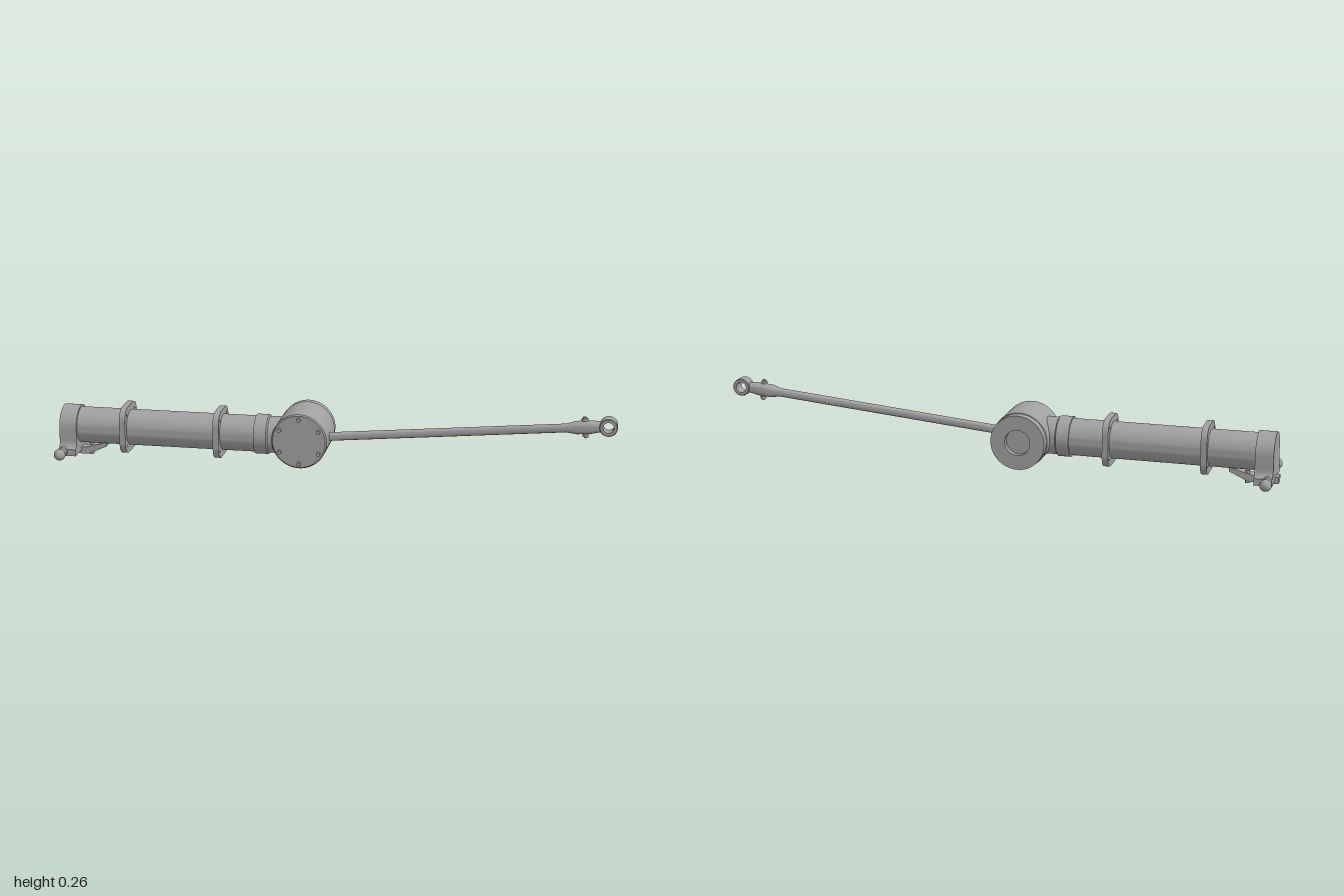
import * as THREE from 'three';
import { toCreasedNormals } from 'three/addons/utils/BufferGeometryUtils.js';

const metal = new THREE.MeshStandardMaterial({ color: 0xa0a0a0 });
metal.name = 'grey metal';

const AXIS_X = 0.028; // sideways offset of tube and rod
const AXIS_Y = 0.125; // height of tube axis

function add(parent, name, geometry, x = 0, y = 0, z = 0) {
  const mesh = new THREE.Mesh(geometry, metal);
  mesh.name = name;
  mesh.position.set(x, y, z);
  parent.add(mesh);
  return mesh;
}

// Turned part from [radius, distance] pairs, along the x, y or z axis
function turned(profile, axis, sides = 48) {
  const points = profile.map(([r, d]) => new THREE.Vector2(r, d));
  const g = toCreasedNormals(new THREE.LatheGeometry(points, sides), 0.6);
  if (axis === 'x') g.rotateZ(-Math.PI / 2);
  if (axis === 'z') g.rotateX(Math.PI / 2);
  return g;
}

function extruded(shape, depth) {
  return toCreasedNormals(
    new THREE.ExtrudeGeometry(shape, { depth, bevelEnabled: false, curveSegments: 20 }), 0.6);
}

function circleHole(shape, x, y, r) {
  const hole = new THREE.Path();
  hole.absarc(x, y, r, 0, Math.PI * 2, true);
  shape.holes.push(hole);
}

// Mounting plate with rounded corners and four screw holes
function flangeGeometry() {
  const w = 0.09, h = 0.095, r = 0.052;
  const s = new THREE.Shape();
  s.absarc(w - r, h - r, r, 0, Math.PI / 2);
  s.absarc(r - w, h - r, r, Math.PI / 2, Math.PI);
  s.absarc(r - w, r - h, r, Math.PI, Math.PI * 1.5);
  s.absarc(w - r, r - h, r, Math.PI * 1.5, Math.PI * 2);
  s.closePath();
  circleHole(s, 0, 0, 0.07);
  for (const sx of [-1, 1]) for (const sy of [-1, 1]) circleHole(s, sx * 0.061, sy * 0.063, 0.005);
  return extruded(s, 0.024);
}

// Arched end plate that flares into a foot
function endCapGeometry() {
  const r = 0.08;
  const s = new THREE.Shape();
  s.moveTo(-0.1, -0.105);
  s.lineTo(0.1, -0.105);
  s.lineTo(0.1, -0.078);
  s.quadraticCurveTo(r, -0.072, r, -0.045);
  s.lineTo(r, 0);
  s.absarc(0, 0, r, 0, Math.PI);
  s.lineTo(-r, -0.045);
  s.quadraticCurveTo(-r, -0.072, -0.1, -0.078);
  s.closePath();
  return extruded(s, 0.07);
}

function buildDrum(parent) {
  const drum = new THREE.Group();
  drum.name = 'gearDrum';
  drum.position.set(0.06, AXIS_Y, -0.071);
  parent.add(drum);
  // Body with a bolted cover on one end and a round recess in the other
  add(drum, 'drumBody', turned([
    [0, -0.113], [0.105, -0.113], [0.11, -0.108], [0.11, 0.078], [0.107, 0.08],
    [0.107, 0.113], [0.05, 0.113], [0.05, 0.09], [0, 0.09],
  ], 'x', 64));
  for (let i = 0; i < 6; i++) {
    const a = i * Math.PI / 3;
    const bolt = new THREE.CylinderGeometry(0.008, 0.008, 0.014, 12).rotateZ(Math.PI / 2);
    add(drum, 'coverBolt', bolt, -0.118, Math.cos(a) * 0.09, Math.sin(a) * 0.09);
  }
}

function buildTube(parent) {
  const tube = new THREE.Group();
  tube.name = 'tubeAssembly';
  tube.position.set(AXIS_X, AXIS_Y, 0);
  parent.add(tube);
  add(tube, 'mainTube', turned([
    [0, -1.0], [0.072, -1.0], [0.072, -0.255], [0.079, -0.255],
    [0.079, -0.205], [0.073, -0.2], [0.073, -0.09], [0, -0.09],
  ], 'z'));
  for (const z of [-0.795, -0.415]) add(tube, 'flange', flangeGeometry(), 0, 0, z);
  add(tube, 'endCap', endCapGeometry(), 0, 0, -1.046);

  // Ball handles on both sides of the foot
  for (const side of [-1, 1]) {
    const handle = new THREE.Group();
    handle.name = side > 0 ? 'leftHandle' : 'rightHandle';
    handle.position.set(0, -0.087, -1.028);
    handle.rotation.y = side > 0 ? 0 : Math.PI;
    tube.add(handle);
    add(handle, 'handleNeck', turned([
      [0, 0.08], [0.018, 0.08], [0.018, 0.108], [0.01, 0.113], [0.01, 0.14], [0, 0.14],
    ], 'x', 20));
    add(handle, 'handleBall', new THREE.SphereGeometry(0.023, 24, 16), 0.145);
  }

  // Latch lever below the rear end
  const side = new THREE.Shape();
  side.moveTo(0.87, -0.066);
  side.lineTo(0.87, -0.082);
  side.lineTo(0.945, -0.117);
  side.lineTo(1.06, -0.117);
  side.lineTo(1.06, -0.09);
  side.lineTo(0.96, -0.09);
  side.closePath();
  const lever = extruded(side, 0.044);
  lever.rotateY(Math.PI / 2); // profile length runs toward -z
  add(tube, 'latchLever', lever, -0.022, 0, 0);
  add(tube, 'latchBolt', new THREE.CylinderGeometry(0.009, 0.009, 0.05, 16), 0.008, -0.1, -0.94);
}

function buildRod(parent) {
  const rod = new THREE.Group();
  rod.name = 'pushRod';
  rod.position.set(AXIS_X, AXIS_Y, 0);
  rod.rotation.x = -Math.atan(0.0925);
  parent.add(rod);
  add(rod, 'rodShaft', turned([
    [0, 0], [0.017, 0], [0.017, 0.965], [0.026, 1.005], [0.026, 1.06], [0.021, 1.1], [0, 1.1],
  ], 'z', 32));
  // Eye with an open bore across the rod
  const h = 0.025;
  add(rod, 'rodEye', turned([
    [0.021, -h], [0.032, -h], [0.035, -h + 0.003], [0.035, h - 0.003], [0.032, h], [0.021, h], [0.021, -h],
  ], 'x', 40), 0, 0, 1.127);
  // Clamp bolt through the rod head
  add(rod, 'clampBolt', new THREE.CylinderGeometry(0.007, 0.007, 0.084, 16), 0, 0, 1.038);
  for (const y of [-0.031, 0.031]) {
    add(rod, 'clampNut', new THREE.CylinderGeometry(0.013, 0.013, 0.01, 6), 0, y, 1.038);
  }
}

export function createModel() {
  const model = new THREE.Group();
  model.name = 'actuator';
  const body = new THREE.Group();
  body.name = 'actuatorBody';
  body.rotation.y = Math.PI / 6;
  model.add(body);
  buildDrum(body);
  buildTube(body);
  buildRod(body);
  return model;
}
